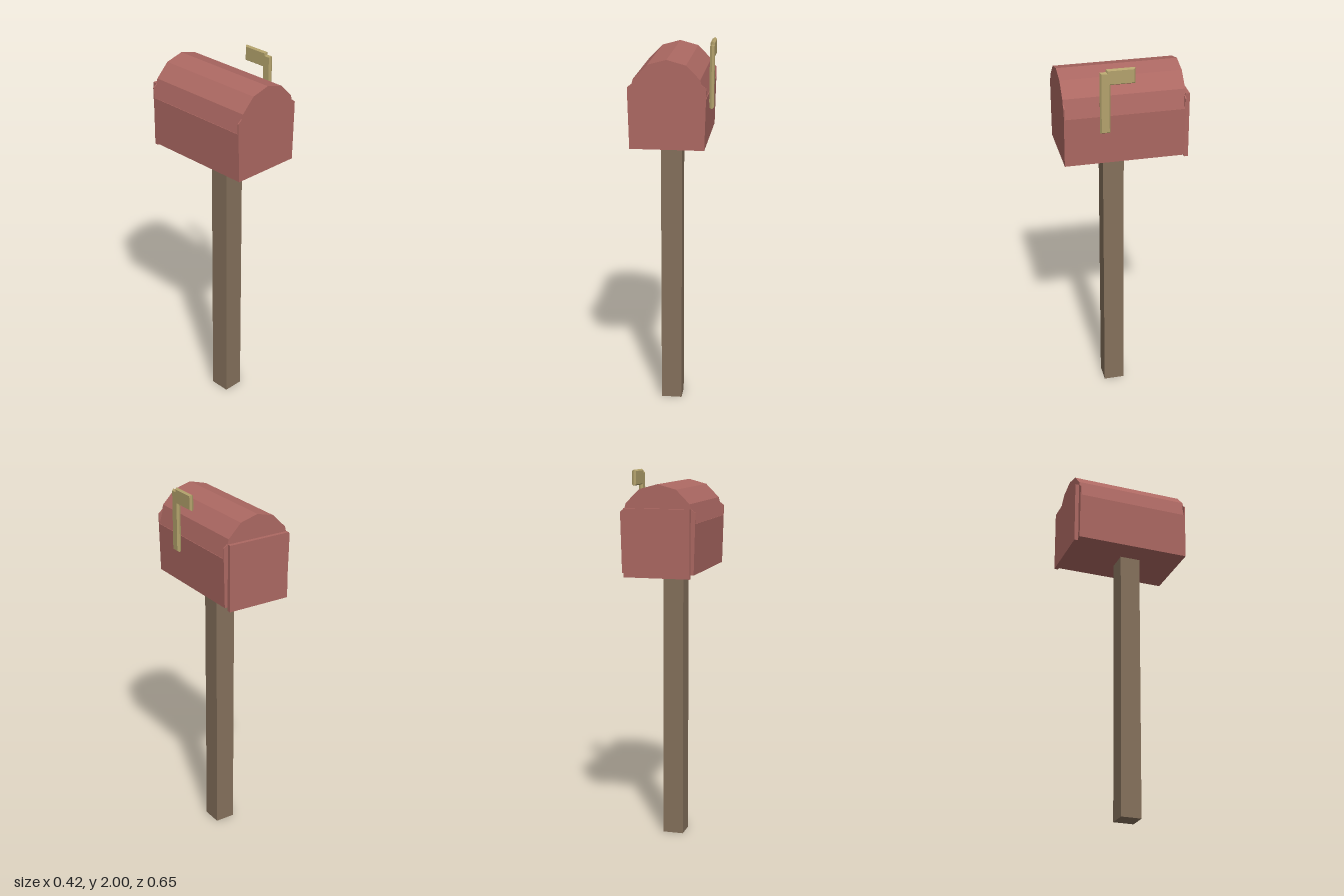
import * as THREE from 'three';

const red = new THREE.MeshStandardMaterial({ color: 0xac6862 });
red.name = 'faded red';
const wood = new THREE.MeshStandardMaterial({ color: 0x84705b });
wood.name = 'post wood';
const brass = new THREE.MeshStandardMaterial({ color: 0xb3a26c });
brass.name = 'flag tan';

const CX = -0.01; // the box and post sit slightly off centre
const BACK = -0.3, FRONT = 0.322;

const outline = (points) => new THREE.Shape(points.map(([x, y]) => new THREE.Vector2(x, y)));

function addMesh(group, name, geometry, material) {
  const mesh = new THREE.Mesh(geometry, material);
  mesh.name = name;
  group.add(mesh);
  return mesh;
}

// Straight prism along z between two depths
function prism(points, z0, z1) {
  const geometry = new THREE.ExtrudeGeometry(outline(points), { depth: z1 - z0, bevelEnabled: false });
  return geometry.translate(0, 0, z0);
}

function box(x0, x1, y0, y1, z0, z1) {
  return new THREE.BoxGeometry(x1 - x0, y1 - y0, z1 - z0)
    .translate((x0 + x1) / 2, (y0 + y1) / 2, (z0 + z1) / 2);
}

export function createModel() {
  const model = new THREE.Group();
  model.name = 'mailbox';

  // Square post
  addMesh(model, 'post', box(-0.068, 0.043, 0, 1.5, -0.013, 0.098), wood);

  // Lower body, flaring a little towards the top
  addMesh(model, 'lowerBody', prism([
    [CX - 0.19, 1.485], [CX + 0.19, 1.485], [CX + 0.197, 1.745], [CX - 0.197, 1.745],
  ], BACK, FRONT), red);

  // Six-sided arched roof
  const arch = [];
  for (let i = 0; i <= 6; i++) {
    const a = (i / 6) * Math.PI;
    arch.push([CX + 0.194 * Math.cos(a), 1.745 + 0.195 * Math.sin(a)]);
  }
  addMesh(model, 'archedRoof', prism(arch, BACK, FRONT), red);

  // Small pointed lips where the side walls meet each end
  for (const side of [-1, 1]) {
    for (const z of [BACK, FRONT - 0.006]) {
      const lip = [[CX + side * 0.185, 1.73], [CX + side * 0.197, 1.74], [CX + side * 0.198, 1.8], [CX + side * 0.172, 1.82]];
      addMesh(model, 'cornerLip', prism(side > 0 ? lip : lip.reverse(), z, z + 0.006), red);
    }
  }

  // Door plate on the back end
  addMesh(model, 'door', box(-0.185, 0.165, 1.467, 1.818, -0.324, BACK - 0.003), red);
  addMesh(model, 'doorHinge', box(-0.175, 0.155, 1.5, 1.8, BACK - 0.004, BACK + 0.01), red);

  // Signal flag: a bent plate whose rim comes to a ridge
  const flagShape = outline([
    [-0.144, 1.66], [-0.09, 1.66], [-0.09, 1.916], [0.034, 1.916],
    [0.034, 2], [-0.113, 2], [-0.113, 1.986], [-0.144, 1.986],
  ]);
  const flag = new THREE.ExtrudeGeometry(flagShape, {
    depth: 0.001, bevelEnabled: true, bevelSegments: 1,
    bevelThickness: 0.011, bevelSize: 0.007, bevelOffset: -0.007,
  });
  flag.rotateY(Math.PI / 2).translate(0.199, 0, 0);
  addMesh(model, 'flag', flag, brass);

  // Pivot joining the flag to the side wall
  addMesh(model, 'flagPivot', box(0.175, 0.195, 1.69, 1.71, 0.107, 0.127), brass);

  return model;
}
